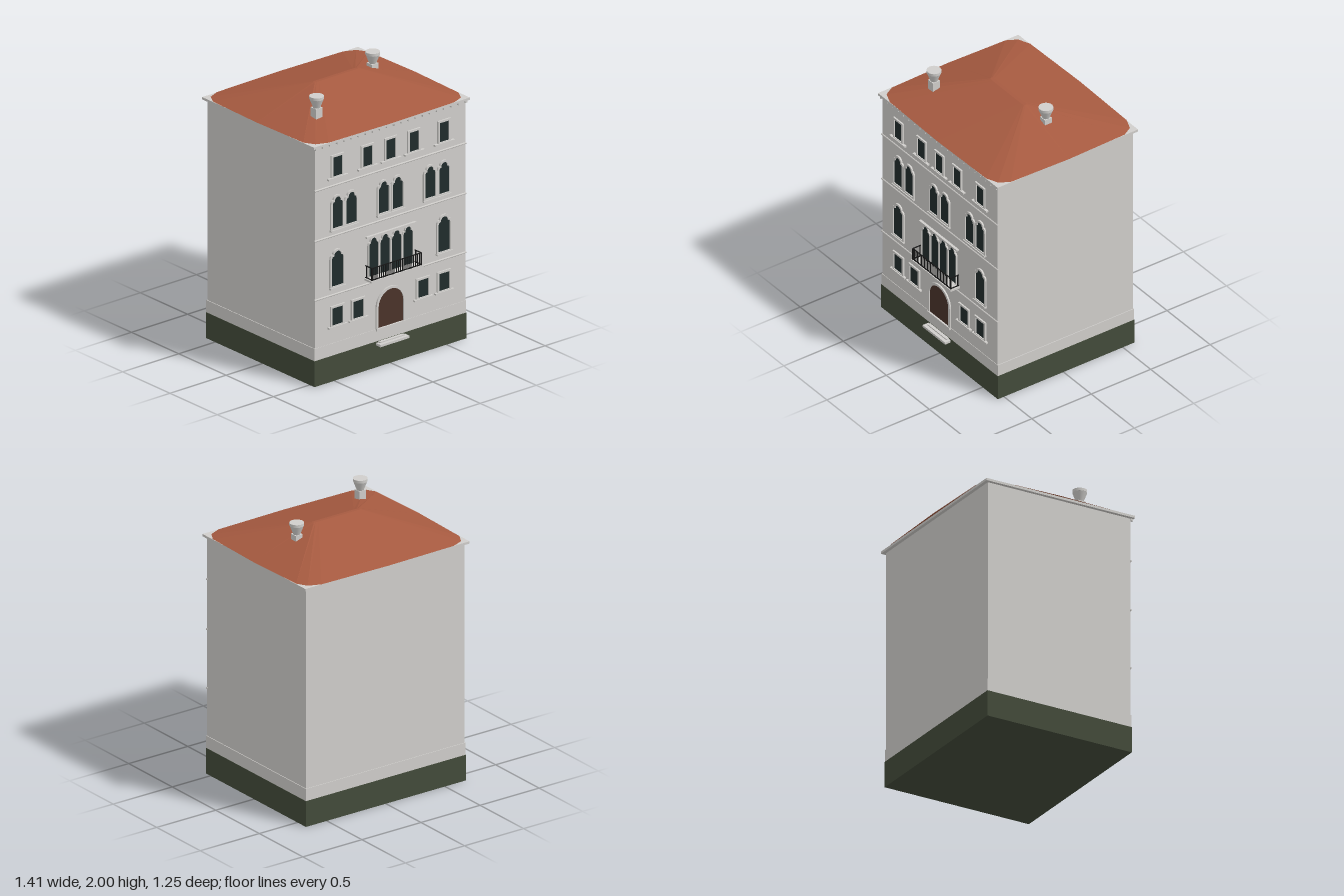
import * as THREE from 'three';

const mat = (name, color, extra = {}) => {
  const m = new THREE.MeshStandardMaterial({ color, ...extra });
  m.name = name;
  return m;
};

export function createModel() {
  const model = new THREE.Group();
  model.name = 'townhouse';
  const stone = mat('pale stone', 0xd0cecb);
  const green = mat('mossy base', 0x434b3a);
  const tile = mat('roof tile', 0xa65a40, { flatShading: true });
  const glass = mat('dark glass', 0x202c2c);
  const wood = mat('door wood', 0x4a332a);
  const iron = mat('black iron', 0x161616);
  const FRONT = 0.548;

  const add = (name, geo, material, x = 0, y = 0, z = 0, parent = model) => {
    const m = new THREE.Mesh(geo, material);
    m.name = name;
    m.position.set(x, y, z);
    parent.add(m);
    return m;
  };
  // Box given by its limits
  const box = (name, material, x0, x1, y0, y1, z0, z1, parent) =>
    add(name, new THREE.BoxGeometry(x1 - x0, y1 - y0, z1 - z0), material,
      (x0 + x1) / 2, (y0 + y1) / 2, (z0 + z1) / 2, parent);

  // Walls, base and cornice
  box('base', green, -0.677, 0.677, 0, 0.19, -0.597, 0.552);
  box('plinth', stone, -0.675, 0.675, 0.19, 0.28, -0.595, 0.551);
  box('walls', stone, -0.67, 0.67, 0.28, 1.76, -0.59, FRONT);
  box('cornice', stone, -0.695, 0.695, 1.758, 1.775, -0.615, 0.567);
  for (let i = 0; i < 22; i++) {
    const x = -0.667 + i * 0.0635;
    box('dentil', stone, x - 0.008, x + 0.008, 1.743, 1.76, FRONT, 0.564);
  }
  for (const y of [0.635, 1.07, 1.44]) {
    const band = add('stringCourse', new THREE.CylinderGeometry(0.007, 0.007, 1.35, 8), stone, 0, y, FRONT);
    band.rotation.z = Math.PI / 2;
  }

  // Hipped roof: loft from a rounded rectangle to the narrow ridge
  const N = 16, P = 0.24, ZC = -0.026;
  const pw = v => Math.sign(v) * Math.pow(Math.abs(v) < 1e-9 ? 0 : Math.abs(v), P);
  const ring = (a, b, y) => Array.from({ length: N }, (_, i) => {
    const t = (i / N) * Math.PI * 2;
    return [a * pw(Math.cos(t)), y, ZC + b * pw(Math.sin(t))];
  });
  const low = ring(0.705, 0.602, 1.776), high = ring(0.2, 0.013, 1.94);
  const pos = [];
  for (let i = 0; i < N; i++) {
    const j = (i + 1) % N;
    pos.push(...low[i], ...high[i], ...low[j], ...low[j], ...high[i], ...high[j]);
    pos.push(0, 1.94, ZC, ...high[j], ...high[i]);
    pos.push(0, 1.776, ZC, ...low[i], ...low[j]);
  }
  const roofGeo = new THREE.BufferGeometry();
  roofGeo.setAttribute('position', new THREE.Float32BufferAttribute(pos, 3));
  roofGeo.computeVertexNormals();
  add('roof', roofGeo, tile);

  // Chimneys with flared pots
  for (const [x, z] of [[-0.433, 0.285], [0.37, -0.075]]) {
    const g = new THREE.Group();
    g.name = 'chimney';
    box('chimneyStack', stone, x - 0.029, x + 0.029, 1.8, 1.915, z - 0.029, z + 0.029, g);
    add('chimneyPot', new THREE.CylinderGeometry(0.05, 0.025, 0.065, 20), stone, x, 1.9475, z, g);
    add('chimneyRim', new THREE.CylinderGeometry(0.051, 0.051, 0.02, 20), stone, x, 1.99, z, g);
    model.add(g);
  }

  // Opening outlines; g widens the outline for the surround
  const outline = (kind, w, y0, y1, g = 0) => {
    const h = w / 2 + g, s = new THREE.Shape(), top = y1 + g, bot = y0 - g;
    s.moveTo(-h, bot);
    s.lineTo(h, bot);
    if (kind === 'square') {
      s.lineTo(h, top);
      s.lineTo(-h, top);
    } else if (kind === 'round') {
      s.lineTo(h, top - h);
      s.absarc(0, top - h, h, 0, Math.PI, false);
    } else {
      // Lobed arch: side lobes, then a narrower crown
      const ys = y1 - 0.058, c = h * 0.62;
      s.lineTo(h, ys);
      s.quadraticCurveTo(h, ys + 0.024 + g, c, ys + 0.024 + g);
      s.quadraticCurveTo(c, top - 0.004, 0, top);
      s.quadraticCurveTo(-c, top - 0.004, -c, ys + 0.024 + g);
      s.quadraticCurveTo(-h, ys + 0.024 + g, -h, ys);
    }
    s.closePath();
    return s;
  };
  const opening = (name, kind, x, w, y0, y1, fill, g = 0.015) => {
    const group = new THREE.Group();
    group.name = name;
    group.position.set(x, 0, FRONT);
    const frame = outline(kind, w, y0, y1, g);
    frame.holes.push(outline(kind, w, y0, y1));
    const opts = { depth: 0.012, bevelEnabled: false, curveSegments: 10 };
    add('surround', new THREE.ExtrudeGeometry(frame, opts), stone, 0, 0, 0, group);
    add('panel', new THREE.ShapeGeometry(outline(kind, w, y0, y1), 10), fill, 0, 0, 0.004, group);
    model.add(group);
  };
  const sill = (x, w, y) => box('sill', stone, x - w / 2, x + w / 2, y - 0.006, y + 0.006, FRONT, 0.567);

  // Top floor
  for (const x of [-0.475, -0.207, 0, 0.207, 0.475]) {
    opening('topWindow', 'square', x, 0.082, 1.508, 1.652, glass);
    sill(x, 0.175, 1.497);
  }
  // Third floor: paired lobed windows
  for (const x of [-0.413, 0, 0.413]) {
    for (const d of [-0.062, 0.062]) opening('pairedWindow', 'lobed', x + d, 0.092, 1.127, 1.355, glass);
    sill(x, 0.25, 1.11);
  }
  // Second floor: side windows and the balcony group
  for (const x of [-0.475, 0.475]) {
    opening('sideWindow', 'lobed', x, 0.105, 0.7, 0.955, glass);
    sill(x, 0.14, 0.687);
  }
  for (const x of [-0.153, -0.051, 0.051, 0.153]) opening('balconyWindow', 'lobed', x, 0.086, 0.684, 0.965, glass, 0.008);
  box('hoodMould', stone, -0.22, 0.22, 0.974, 0.986, FRONT, 0.567);
  // Ground floor
  for (const x of [-0.475, -0.29, 0.288, 0.475]) {
    opening('lowerWindow', 'square', x, 0.094, 0.412, 0.54, glass);
    sill(x, 0.165, 0.4);
  }
  // Door and steps
  opening('door', 'round', 0, 0.224, 0.285, 0.55, wood, 0.018);
  box('threshold', stone, -0.13, 0.13, 0.268, 0.285, FRONT, 0.565);
  box('step', stone, -0.13, 0.13, 0.163, 0.18, FRONT, 0.6);
  box('upperStep', stone, -0.11, 0.11, 0.18, 0.188, FRONT, 0.575);

  // Balcony
  const balcony = new THREE.Group();
  balcony.name = 'balcony';
  model.add(balcony);
  box('balconySlab', stone, -0.23, 0.23, 0.668, 0.682, FRONT, 0.626, balcony);
  const R = 0.003, ZR = 0.617;
  for (const y of [0.687, 0.773]) {
    box('frontRail', iron, -0.222, 0.222, y - R, y + R, ZR - R, ZR + R, balcony);
    for (const x of [-0.219, 0.219]) box('sideRail', iron, x - R, x + R, y - R, y + R, FRONT, ZR, balcony);
  }
  const bar = (x, z, r) => box('baluster', iron, x - r, x + r, 0.682, 0.773, z - r, z + r, balcony);
  for (let i = 0; i <= 26; i++) bar(-0.219 + (i * 0.438) / 26, ZR, i % 26 ? 0.0022 : 0.004);
  for (const x of [-0.219, 0.219]) bar(x, 0.558, 0.003);

  return model;
}
